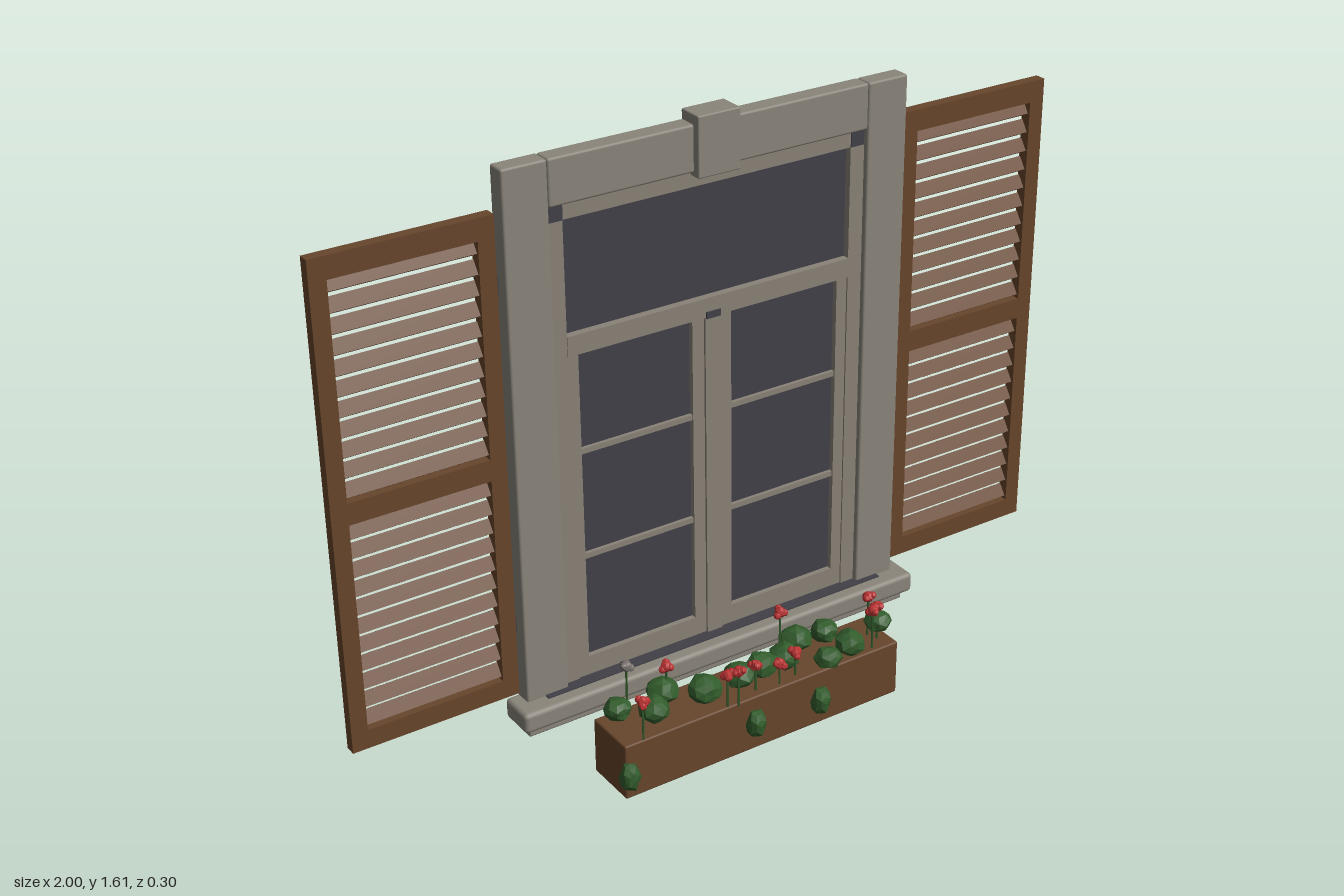
import * as THREE from 'three';
import { RoundedBoxGeometry } from 'three/addons/geometries/RoundedBoxGeometry.js';

const mat = (name, color, extra = {}) => {
  const m = new THREE.MeshStandardMaterial({ color, ...extra });
  m.name = name;
  return m;
};

export function createModel() {
  const stone = mat('stone', 0x8a857b);
  const paint = mat('framePaint', 0x8a8277);
  const glass = mat('darkGlass', 0x424048);
  const wood = mat('wood', 0x67452b);
  const leaf = mat('leaf', 0x325c2c, { flatShading: true });
  const petal = mat('petal', 0xb83232, { flatShading: true });
  const fadedPetal = mat('fadedPetal', 0x77706c, { flatShading: true });

  const model = new THREE.Group();
  model.name = 'shutteredWindow';
  const group = (name) => {
    const g = new THREE.Group();
    g.name = name;
    model.add(g);
    return g;
  };

  // Box given by its limits; a radius softens the edges
  const box = (parent, name, m, [x0, x1], [y0, y1], [z0, z1], radius = 0) => {
    const s = [x1 - x0, y1 - y0, z1 - z0];
    const geo = radius ? new RoundedBoxGeometry(...s, 2, radius) : new THREE.BoxGeometry(...s);
    const mesh = new THREE.Mesh(geo, m);
    mesh.name = name;
    mesh.position.set((x0 + x1) / 2, (y0 + y1) / 2, (z0 + z1) / 2);
    parent.add(mesh);
    return mesh;
  };
  const span = (side, a, b) => (side > 0 ? [a, b] : [-b, -a]);

  // Stone surround
  const surround = group('surround');
  for (const s of [-1, 1]) {
    box(surround, 'pier', stone, span(s, 0.435, 0.55), [0.21, 1.58], [-0.15, -0.1], 0.006);
  }
  box(surround, 'lintel', stone, [-0.435, 0.435], [1.465, 1.58], [-0.15, -0.1], 0.006);
  box(surround, 'keystone', stone, [-0.058, 0.058], [1.455, 1.605], [-0.15, -0.08], 0.004);
  box(surround, 'keystoneBack', glass, [-0.05, 0.05], [1.47, 1.575], [-0.152, -0.149]);
  box(surround, 'sill', stone, [-0.585, 0.585], [0.16, 0.215], [-0.15, -0.05], 0.012);
  box(surround, 'sillLedge', stone, [-0.565, 0.565], [0.135, 0.162], [-0.15, -0.07], 0.006);
  box(surround, 'sillJoint', glass, [-0.5, 0.5], [0.213, 0.218], [-0.13, -0.085]);

  // Window: dark pane sheet with painted bars in front and panels behind
  const win = group('window');
  box(win, 'glassSheet', glass, [-0.435, 0.435], [0.215, 1.465], [-0.142, -0.132]);
  for (const s of [-1, 1]) {
    box(win, 'outerStile', paint, span(s, 0.395, 0.435), [0.215, 1.425], [-0.134, -0.114]);
    box(win, 'cornerBlock', glass, span(s, 0.395, 0.433), [1.425, 1.463], [-0.134, -0.112]);
    box(win, 'casementOuterStile', paint, span(s, 0.365, 0.395), [0.215, 1.09], [-0.134, -0.118]);
    box(win, 'casementInnerStile', paint, span(s, 0.022, 0.055), [0.215, 1.09], [-0.134, -0.118]);
    box(win, 'casementRail', paint, span(s, 0.055, 0.365), [0.215, 0.27], [-0.134, -0.118]);
    for (const y of [0.55, 0.833]) {
      box(win, 'glazingBar', paint, span(s, 0.055, 0.365), [y - 0.007, y + 0.007], [-0.134, -0.122]);
    }
    box(win, 'backPanel', paint, span(s, 0.022, 0.395), [0.255, 1.09], [-0.146, -0.141]);
  }
  box(win, 'topRail', paint, [-0.395, 0.395], [1.425, 1.465], [-0.134, -0.114]);
  box(win, 'transom', paint, [-0.395, 0.395], [1.09, 1.14], [-0.134, -0.112]);
  box(win, 'centrePost', paint, [-0.022, 0.022], [0.215, 1.09], [-0.134, -0.112]);
  box(win, 'latch', glass, [-0.02, 0.02], [1.088, 1.105], [-0.114, -0.108]);
  box(win, 'topBackPanel', paint, [-0.395, 0.395], [1.14, 1.425], [-0.146, -0.141]);

  // Louvred shutters
  const slatGeo = new THREE.BoxGeometry(0.364, 0.036, 0.008);
  const hingeGeo = new THREE.CylinderGeometry(0.008, 0.008, 0.045, 8);
  for (const s of [-1, 1]) {
    const shutter = group(s > 0 ? 'leftShutter' : 'rightShutter');
    const z = [-0.15, -0.121];
    box(shutter, 'innerStile', wood, span(s, 0.56, 0.602), [0.235, 1.475], z);
    box(shutter, 'outerStile', wood, span(s, 0.958, 1), [0.235, 1.475], z);
    for (const y of [[0.235, 0.285], [0.83, 0.885], [1.42, 1.475]]) {
      box(shutter, 'rail', wood, span(s, 0.602, 0.958), y, z);
    }
    for (const bottom of [0.285, 0.885]) {
      for (let i = 0; i < 11; i++) {
        const slat = new THREE.Mesh(slatGeo, wood);
        slat.name = 'slat';
        slat.position.set(s * 0.78, bottom + 0.023 + i * 0.0495, -0.14);
        slat.rotation.x = -0.6;
        shutter.add(slat);
      }
    }
    for (const y of [0.42, 1.3]) {
      const hinge = new THREE.Mesh(hingeGeo, glass);
      hinge.name = 'hinge';
      hinge.position.set(s * 0.556, y, -0.14);
      shutter.add(hinge);
    }
  }

  // Flower box
  const planter = group('flowerBox');
  box(planter, 'trough', wood, [-0.41, 0.41], [0, 0.153], [-0.03, 0.115], 0.005);

  // Lumpy faceted ball, uneven by a rule of position
  const lump = (parent, name, m, x, y, z, rx, ry, rz) => {
    const geo = new THREE.IcosahedronGeometry(1, 1);
    const p = geo.attributes.position;
    const v = new THREE.Vector3();
    for (let i = 0; i < p.count; i++) {
      v.fromBufferAttribute(p, i);
      const k = 0.96 + 0.12 * Math.sin(5 * v.x + 31 * x) * Math.cos(4 * v.y + 3 * v.z + 17 * z);
      p.setXYZ(i, v.x * k * rx, v.y * k * ry, v.z * k * rz);
    }
    geo.computeVertexNormals();
    const mesh = new THREE.Mesh(geo, m);
    mesh.name = name;
    mesh.position.set(x, y, z);
    parent.add(mesh);
  };

  // Foliage: x, y, z, radius
  const plants = group('plants');
  const bushes = [
    [-0.36, 0.18, 0, 0.036], [-0.29, 0.185, 0.055, 0.042], [-0.23, 0.185, 0, 0.043],
    [-0.15, 0.195, 0.065, 0.045], [-0.035, 0.185, 0.05, 0.042], [0.03, 0.19, 0.05, 0.042],
    [0.1, 0.19, 0.05, 0.042], [0.18, 0.18, -0.012, 0.043], [0.26, 0.18, 0, 0.037],
    [0.2, 0.175, 0.1, 0.036], [0.285, 0.175, 0.075, 0.042], [0.375, 0.208, 0.075, 0.036],
  ];
  for (const [x, y, z, r] of bushes) lump(plants, 'bush', leaf, x, y, z, r, r * 0.8, r);
  for (const [x, y] of [[-0.405, 0.072], [-0.037, 0.083], [0.16, 0.075]]) {
    lump(plants, 'trailingLeaves', leaf, x, y, 0.126, 0.027, 0.041, 0.026);
  }

  // Blossoms on thin stems
  const blossoms = [
    [-0.355, 0.26, 0.11], [-0.22, 0.252, 0.003], [-0.112, 0.245, 0.11], [-0.085, 0.25, 0.118],
    [-0.015, 0.226, 0.09], [0.05, 0.212, 0.1], [0.105, 0.22, 0.09], [0.13, 0.275, -0.012],
    [0.338, 0.265, 0.1], [0.365, 0.268, 0.045], [0.375, 0.25, 0.072], [-0.32, 0.278, -0.02],
  ];
  const stemGeo = new THREE.CylinderGeometry(0.003, 0.003, 1, 5);
  blossoms.forEach(([x, y, z], i) => {
    const m = i === blossoms.length - 1 ? fadedPetal : petal;
    lump(plants, 'blossom', m, x, y, z, 0.015, 0.015, 0.015);
    for (const a of [0, 2.1, 4.2]) {
      lump(plants, 'petals', m, x + 0.011 * Math.cos(a + i), y + 0.006 * Math.sin(a * 2), z + 0.011 * Math.sin(a + i), 0.01, 0.01, 0.01);
    }
    const stem = new THREE.Mesh(stemGeo, leaf);
    stem.name = 'stem';
    stem.scale.y = y - 0.15;
    stem.position.set(x, (y + 0.15) / 2, z);
    plants.add(stem);
  });

  return model;
}
